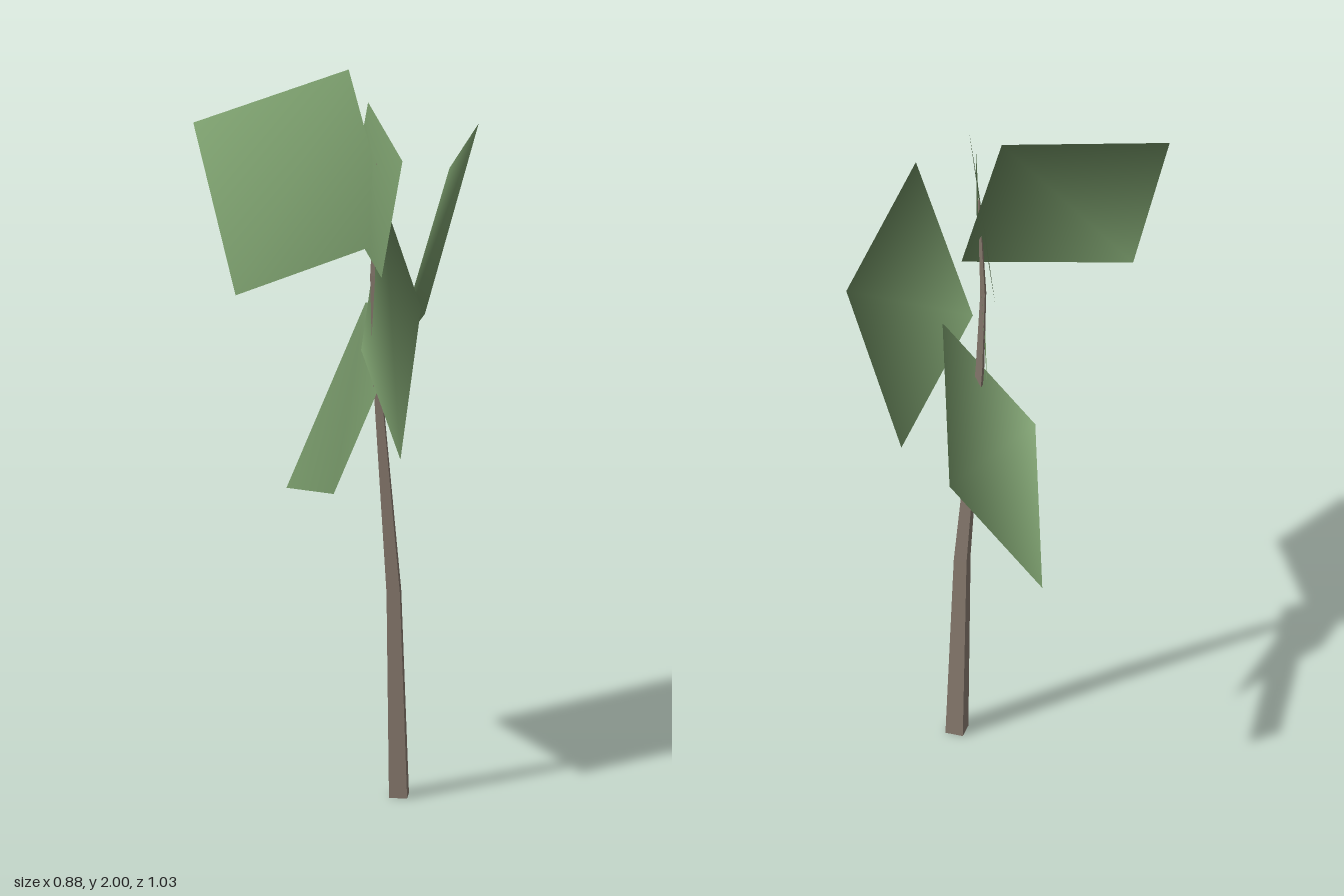
import * as THREE from 'three';

const bark = new THREE.MeshStandardMaterial({ color: 0x8c7e72, flatShading: true });
bark.name = 'bark';
const foliage = new THREE.MeshStandardMaterial({ color: 0x789a6a, side: THREE.DoubleSide });
foliage.name = 'foliage';

// Crown centre: leaf normals radiate from here for soft, rounded shading
const CROWN = new THREE.Vector3(0.04, 1.4, -0.02);

// Flat leaf card from its corners: top left, top right, bottom right, bottom left
function leafCard(name, corners) {
  const normals = corners.flatMap((c) =>
    new THREE.Vector3(...c).sub(CROWN).normalize().toArray());
  const geo = new THREE.BufferGeometry();
  geo.setAttribute('position', new THREE.Float32BufferAttribute(corners.flat(), 3));
  geo.setAttribute('normal', new THREE.Float32BufferAttribute(normals, 3));
  geo.setIndex([0, 3, 1, 1, 3, 2]);
  const mesh = new THREE.Mesh(geo, foliage);
  mesh.name = name;
  return mesh;
}

// Four-sided tapering trunk following bent rings of [x, y, z, radius]
function trunk() {
  const rings = [
    [0.122, 0, 0, 0.034],
    [0.108, 0.57, 0, 0.025],
    [0.062, 1.2, -0.01, 0.013],
    [0.053, 1.45, -0.01, 0.009],
    [0.065, 1.76, -0.01, 0.003],
  ];
  const steps = rings.length - 1;
  const geo = new THREE.CylinderGeometry(1, 1, 1, 4, steps, false, 0.4);
  const pos = geo.attributes.position;
  for (let i = 0; i < pos.count; i++) {
    const [x, y, z, r] = rings[Math.round((pos.getY(i) + 0.5) * steps)];
    pos.setXYZ(i, x + pos.getX(i) * r, y, z + pos.getZ(i) * r);
  }
  geo.computeVertexNormals();
  const mesh = new THREE.Mesh(geo, bark);
  mesh.name = 'trunk';
  return mesh;
}

export function createModel() {
  const group = new THREE.Group();
  group.name = 'tree';
  group.add(
    trunk(),
    leafCard('upperRightLeaves',
      [[-0.44, 1.92, -0.01], [0.01, 2.0, -0.09], [0.11, 1.55, 0.0], [-0.35, 1.46, 0.08]]),
    leafCard('leftLeaves',
      [[0.22, 1.78, 0.14], [0.44, 1.73, -0.34], [0.295, 1.21, -0.35], [0.07, 1.27, 0.13]]),
    leafCard('lowerLeaves',
      [[0.16, 1.35, 0.0], [0.18, 1.2, -0.515], [-0.075, 0.75, -0.385], [-0.095, 0.9, 0.13]]),
    leafCard('frontLeaves',
      [[0.033, 1.53, 0.515], [0.067, 1.68, 0.04], [0.05, 1.21, -0.11], [0.02, 1.06, 0.365]]),
    leafCard('topLeaves',
      [[0.075, 1.83, 0.195], [0.075, 1.89, -0.13], [0.035, 1.55, -0.19], [0.035, 1.49, 0.135]]),
  );
  return group;
}
